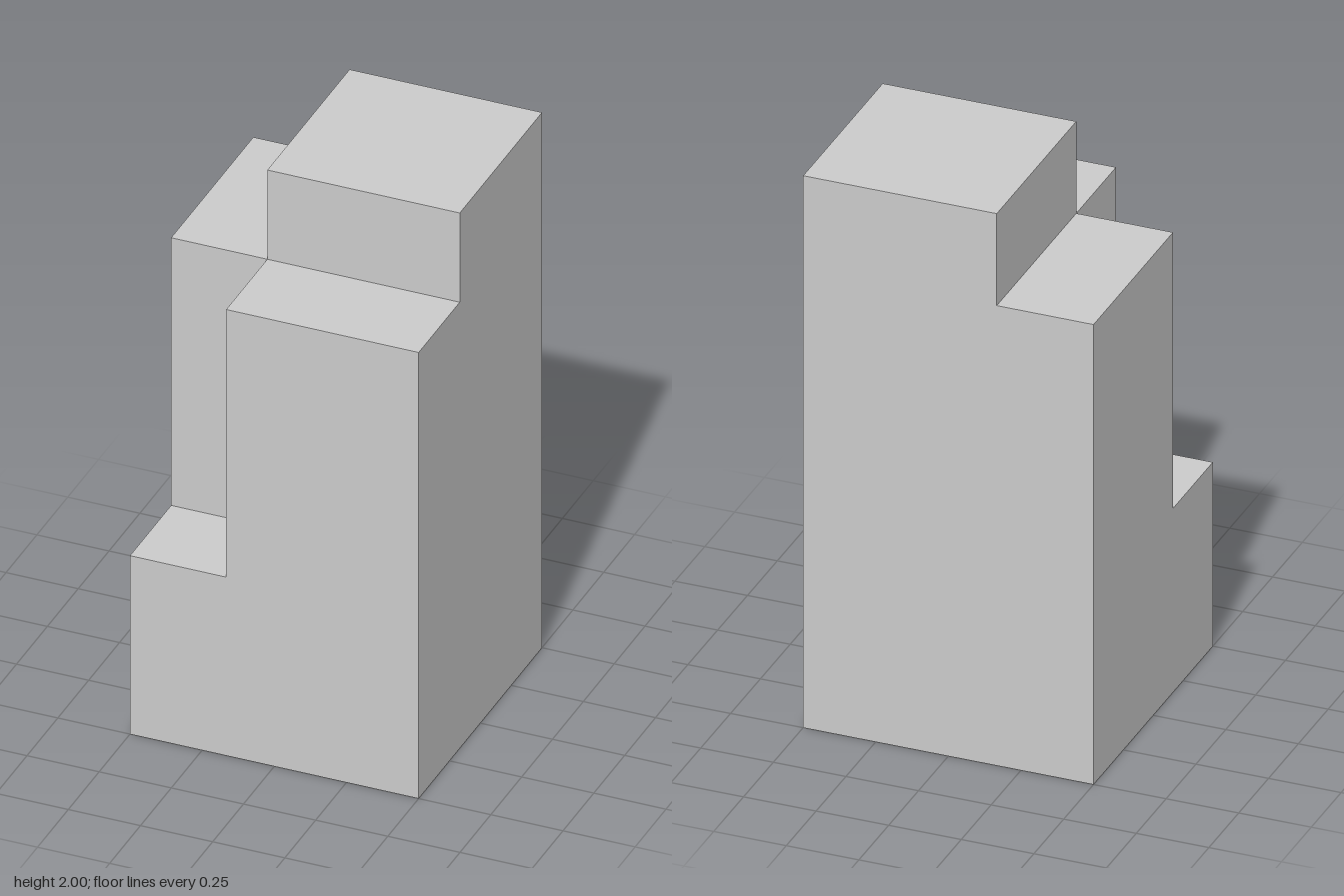
import * as THREE from 'three';

// Grid lines of the plan, and the height of each cell as heights[zIndex][xIndex]
const xs = [-0.5, -1 / 6, 0.5];
const zs = [-0.5, 1 / 6, 0.5];
const heights = [
  [5 / 3, 2],       // back shoulder, main tower
  [2 / 3, 5 / 3],   // low corner step, front shoulder
];

export function createModel() {
  const positions = [];
  // Corners run counter-clockwise as seen from outside
  const quad = (a, b, c, d) => positions.push(...a, ...b, ...c, ...a, ...c, ...d);
  // Wall from the neighbour's height up to this cell's height
  const wall = (xa, za, xb, zb, low, high) => {
    if (high > low) quad([xa, low, za], [xb, low, zb], [xb, high, zb], [xa, high, za]);
  };
  const heightAt = (i, j) => heights[j]?.[i] ?? 0;

  for (let j = 0; j < 2; j++) {
    for (let i = 0; i < 2; i++) {
      const [x0, x1, z0, z1] = [xs[i], xs[i + 1], zs[j], zs[j + 1]];
      const h = heightAt(i, j);
      // Terrace top
      quad([x0, h, z1], [x1, h, z1], [x1, h, z0], [x0, h, z0]);
      // Exposed walls: front, right-hand, back, left-hand
      wall(x0, z1, x1, z1, heightAt(i, j + 1), h);
      wall(x1, z1, x1, z0, heightAt(i + 1, j), h);
      wall(x1, z0, x0, z0, heightAt(i, j - 1), h);
      wall(x0, z0, x0, z1, heightAt(i - 1, j), h);
    }
  }
  // Underside
  quad([-0.5, 0, -0.5], [0.5, 0, -0.5], [0.5, 0, 0.5], [-0.5, 0, 0.5]);

  const geometry = new THREE.BufferGeometry();
  geometry.setAttribute('position', new THREE.Float32BufferAttribute(positions, 3));
  geometry.computeVertexNormals();

  const tower = new THREE.Mesh(
    geometry,
    new THREE.MeshStandardMaterial({ color: 0xcccccc, flatShading: true })
  );
  tower.name = 'steppedTower';

  const group = new THREE.Group();
  group.name = 'building';
  group.add(tower);
  return group;
}
